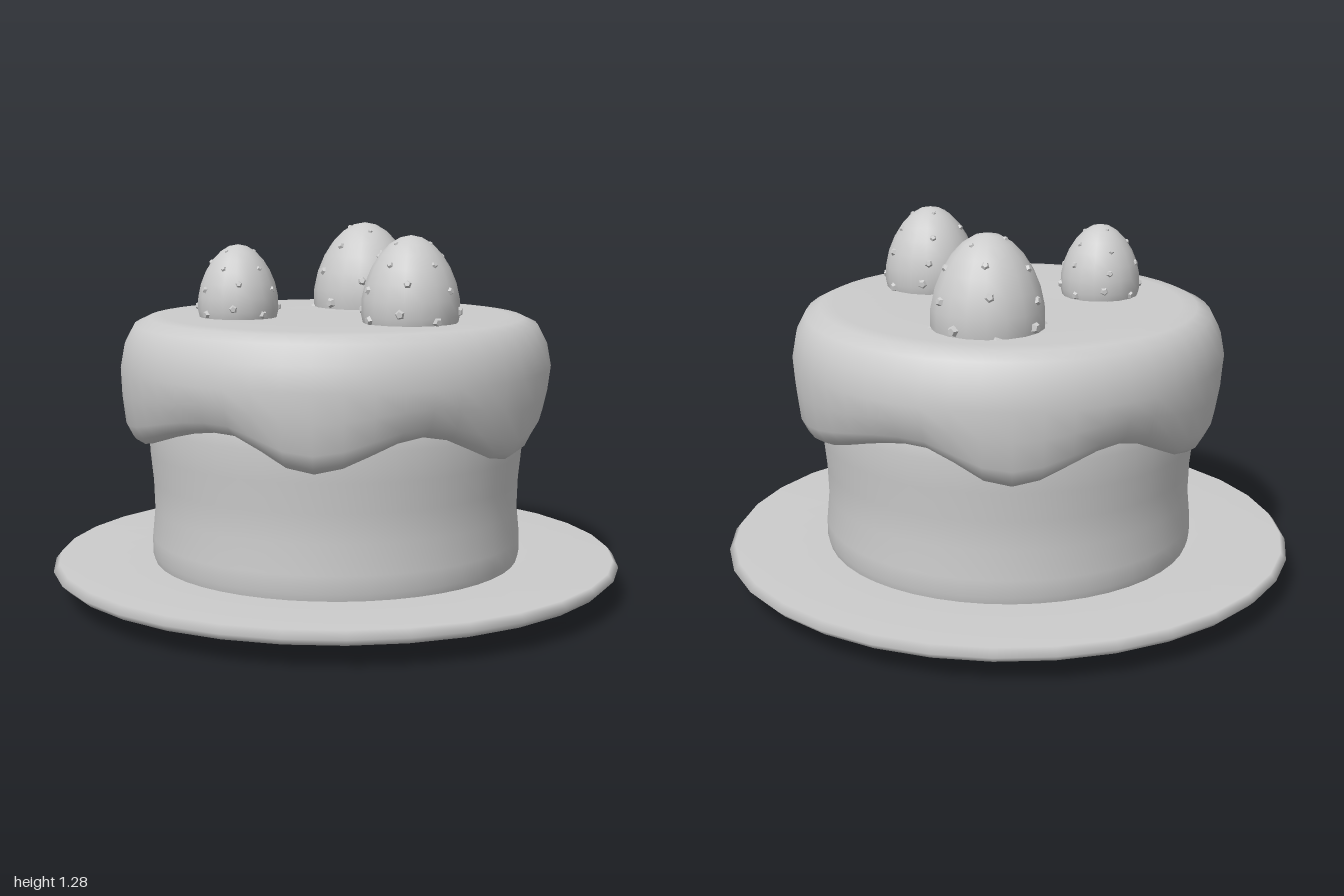
import * as THREE from 'three';
import { mergeVertices } from 'three/addons/utils/BufferGeometryUtils.js';

const material = new THREE.MeshStandardMaterial({ color: 0xcccccc });
const bumpMaterial = new THREE.MeshStandardMaterial({ color: 0xcccccc, flatShading: true });

// Lathe from [radius, y] pairs listed from the underside to the top
function lathe(name, profile, sides) {
  const points = profile.map(([r, y]) => new THREE.Vector2(r, y));
  const mesh = new THREE.Mesh(new THREE.LatheGeometry(points, sides), material);
  mesh.name = name;
  return mesh;
}

// Height of the drip edge around the cake: [degrees, y], repeating each half turn
const drips = [[0, 0.64], [30, 0.53], [58, 0.615], [76, 0.54], [124, 0.645], [149, 0.535], [180, 0.64]];
function dripHeight(angle) {
  const deg = ((THREE.MathUtils.radToDeg(angle) % 180) + 180) % 180;
  const i = drips.findIndex(([a], k) => k > 0 && deg <= a);
  const [a0, y0] = drips[i - 1], [a1, y1] = drips[i];
  const t = (1 - Math.cos(Math.PI * (deg - a0) / (a1 - a0))) / 2;
  return y0 + (y1 - y0) * t;
}

// Frosting: a lathe whose lower skirt is stretched to the wavy drip edge
function makeFrosting() {
  const skirtTop = 0.8;
  const mesh = lathe('frosting', [
    [0.62, 0.12], [0.655, 0.03], [0.685, 0], [0.715, 0.06], [0.738, 0.2], [0.749, 0.5],
    [0.752, 0.799], [0.737, 0.88], [0.703, 0.945], [0.655, 0.968], [0.6, 0.973], [0.3, 0.971], [0, 0.97],
  ], 48);
  mesh.geometry.deleteAttribute('normal');
  mesh.geometry.deleteAttribute('uv');
  const geometry = mergeVertices(mesh.geometry);
  const pos = geometry.attributes.position;
  for (let i = 0; i < pos.count; i++) {
    const x = pos.getX(i), y = pos.getY(i), z = pos.getZ(i);
    if (y >= skirtTop) continue;
    const edge = dripHeight(Math.atan2(x, z));
    const t = y / skirtTop;
    const thin = 1 - 0.25 * Math.max(0, edge - 0.53) * (1 - t);
    pos.setXYZ(i, x * thin, edge + t * (skirtTop - edge), z * thin);
  }
  geometry.computeVertexNormals();
  mesh.geometry = geometry;
  return mesh;
}

// Egg outline for a unit radius: t runs 0 at the bottom to 1 at the tip
function eggPoint(t, radius, height) {
  const a = Math.PI * t;
  const r = radius * Math.sin(a) * (1 + 0.16 * Math.cos(a)) / 1.01;
  return new THREE.Vector2(r, height * (1 - Math.cos(a)) / 2);
}

// Egg with rings of five-sided bumps
function makeEgg(x, z, radius, top, turn) {
  const group = new THREE.Group();
  group.name = 'egg';
  const height = radius * 2.55;
  const outline = Array.from({ length: 13 }, (_, i) => eggPoint(i / 12, radius, height).toArray());
  outline[0][0] = outline[12][0] = 0;
  group.add(lathe('eggShell', outline, 18));

  const bumpGeometry = new THREE.CylinderGeometry(0.55, 1, 0.8, 5);
  const rings = [[0.42, 8, 0.12, 0], [0.57, 6, 0.1, 0.4], [0.71, 5, 0.085, 0.1], [0.86, 3, 0.06, 0.7]];
  for (const [t, count, size, offset] of rings) {
    for (let k = 0; k < count; k++) {
      const shift = t + (k % 2 ? 0.02 : -0.02);
      const p = eggPoint(shift, radius, height);
      const d = eggPoint(shift + 0.01, radius, height).sub(p);
      const a = offset + k * Math.PI * 2 / count;
      const normal = new THREE.Vector3(d.y * Math.sin(a), -d.x, d.y * Math.cos(a)).normalize();
      const bump = new THREE.Mesh(bumpGeometry, bumpMaterial);
      bump.name = 'eggBump';
      bump.position.set(p.x * Math.sin(a), p.y, p.x * Math.cos(a));
      bump.quaternion.setFromUnitVectors(new THREE.Vector3(0, 1, 0), normal);
      bump.scale.setScalar(size * radius);
      group.add(bump);
    }
  }
  group.position.set(x, top - height, z);
  group.rotation.y = turn;
  return group;
}

export function createModel() {
  const model = new THREE.Group();
  model.name = 'cakeOnPlate';

  model.add(lathe('plate', [
    [0, 0], [0.53, 0.005], [0.66, 0.052], [0.975, 0.076], [1, 0.1], [0.98, 0.125], [0.66, 0.115], [0, 0.115],
  ], 32));

  model.add(lathe('cakeBody', [
    [0.64, 0.1], [0.652, 0.14], [0.652, 0.2], [0.642, 0.3], [0.645, 0.4], [0.655, 0.5], [0.66, 0.6], [0.65, 0.7], [0.6, 0.75],
  ], 48));

  model.add(makeFrosting());

  // [x, z, radius, top, turn]
  const eggs = [[-0.34, -0.065, 0.14, 1.22, 0.3], [0.11, 0.36, 0.165, 1.26, 0.1], [0.24, -0.27, 0.19, 1.28, 1.2]];
  eggs.forEach((e) => model.add(makeEgg(...e)));

  return model;
}
